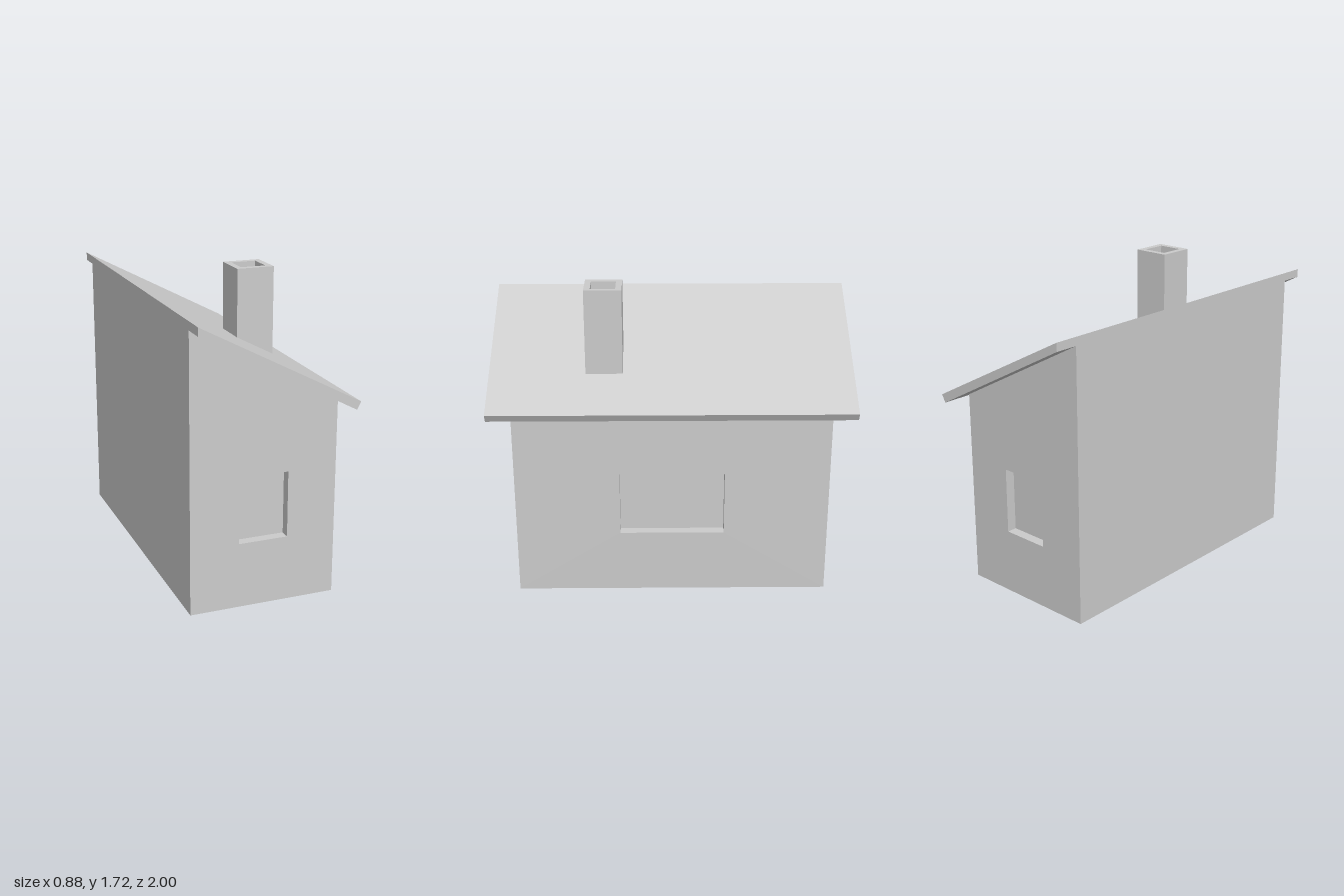
import * as THREE from 'three';
import { mergeGeometries } from 'three/addons/utils/BufferGeometryUtils.js';

const material = new THREE.MeshStandardMaterial({ color: 0xcccccc, flatShading: true });

const polygon = (points) => new THREE.Shape(points.map(([x, y]) => new THREE.Vector2(x, y)));
const rectangle = (x0, y0, x1, y1) => [[x0, y0], [x1, y0], [x1, y1], [x0, y1]];

function addMesh(parent, name, geometry) {
  const mesh = new THREE.Mesh(geometry, material);
  mesh.name = name;
  parent.add(mesh);
  return mesh;
}

// Inside of a box that is open towards +z, with its mouth at z = 0
function recessGeometry([x0, y0, x1, y1], depth) {
  const geometry = new THREE.BoxGeometry(x1 - x0, y1 - y0, depth);
  const index = Array.from(geometry.index.array);
  index.splice(24, 6);
  geometry.setIndex(index.reverse());
  geometry.attributes.normal.array.forEach((n, i, a) => { a[i] = -n; });
  return geometry.translate((x0 + x1) / 2, (y0 + y1) / 2, -depth / 2);
}

// Flat wall facing +z, optionally with a recessed window
function wallGeometry(outline, windowRect) {
  const shape = polygon(outline);
  if (!windowRect) return new THREE.ShapeGeometry(shape);
  shape.holes.push(polygon(rectangle(...windowRect)));
  return mergeGeometries([new THREE.ShapeGeometry(shape), recessGeometry(windowRect, 0.055)]);
}

export function createModel() {
  const model = new THREE.Group();
  model.name = 'house';

  const high = -0.44, low = 0.37, halfLength = 0.87;
  const highTop = 1.522, lowTop = 1.087;
  const sill = 0.36, lintel = 0.725;

  // Walls and floor
  const walls = new THREE.Group();
  walls.name = 'walls';
  model.add(walls);
  addMesh(walls, 'frontWall', wallGeometry(
    [[high, 0], [low, 0], [low, lowTop], [high, highTop]], [-0.17, sill, 0.1, lintel]
  ).translate(0, 0, halfLength));
  addMesh(walls, 'backWall', wallGeometry(
    [[-low, 0], [-high, 0], [-high, highTop], [-low, lowTop]], [-0.1, sill, 0.17, lintel]
  ).rotateY(Math.PI).translate(0, 0, -halfLength));
  addMesh(walls, 'lowSideWall', wallGeometry(
    rectangle(-halfLength, 0, halfLength, lowTop), [-0.29, sill, 0.29, lintel]
  ).rotateY(Math.PI / 2).translate(low, 0, 0));
  addMesh(walls, 'highSideWall', wallGeometry(
    rectangle(-halfLength, 0, halfLength, highTop)
  ).rotateY(-Math.PI / 2).translate(high, 0, 0));
  addMesh(walls, 'floor', wallGeometry(
    rectangle(high, -halfLength, low, halfLength)
  ).rotateX(Math.PI / 2));

  // Single-pitch roof, trimmed flush with the high wall
  const roofProfile = polygon([[high, 1.522], [0.413, 1.063], [0.435, 1.105], [high, 1.568]]);
  addMesh(model, 'roof', new THREE.ExtrudeGeometry(roofProfile, { depth: 2, bevelEnabled: false })
    .translate(0, 0, -1));

  // Chimney with a shallow square flue
  const chimney = new THREE.Group();
  chimney.name = 'chimney';
  chimney.position.set(0.073, 1.715, 0.37);
  model.add(chimney);
  const stack = polygon(rectangle(-0.102, -0.102, 0.102, 0.102));
  stack.holes.push(polygon(rectangle(-0.068, -0.068, 0.068, 0.068)));
  addMesh(chimney, 'chimneyStack', new THREE.ExtrudeGeometry(stack, { depth: 0.5, bevelEnabled: false })
    .rotateX(-Math.PI / 2).translate(0, -0.5, 0));
  addMesh(chimney, 'flueFloor', new THREE.PlaneGeometry(0.136, 0.136)
    .rotateX(-Math.PI / 2).translate(0, -0.06, 0));

  return model;
}
